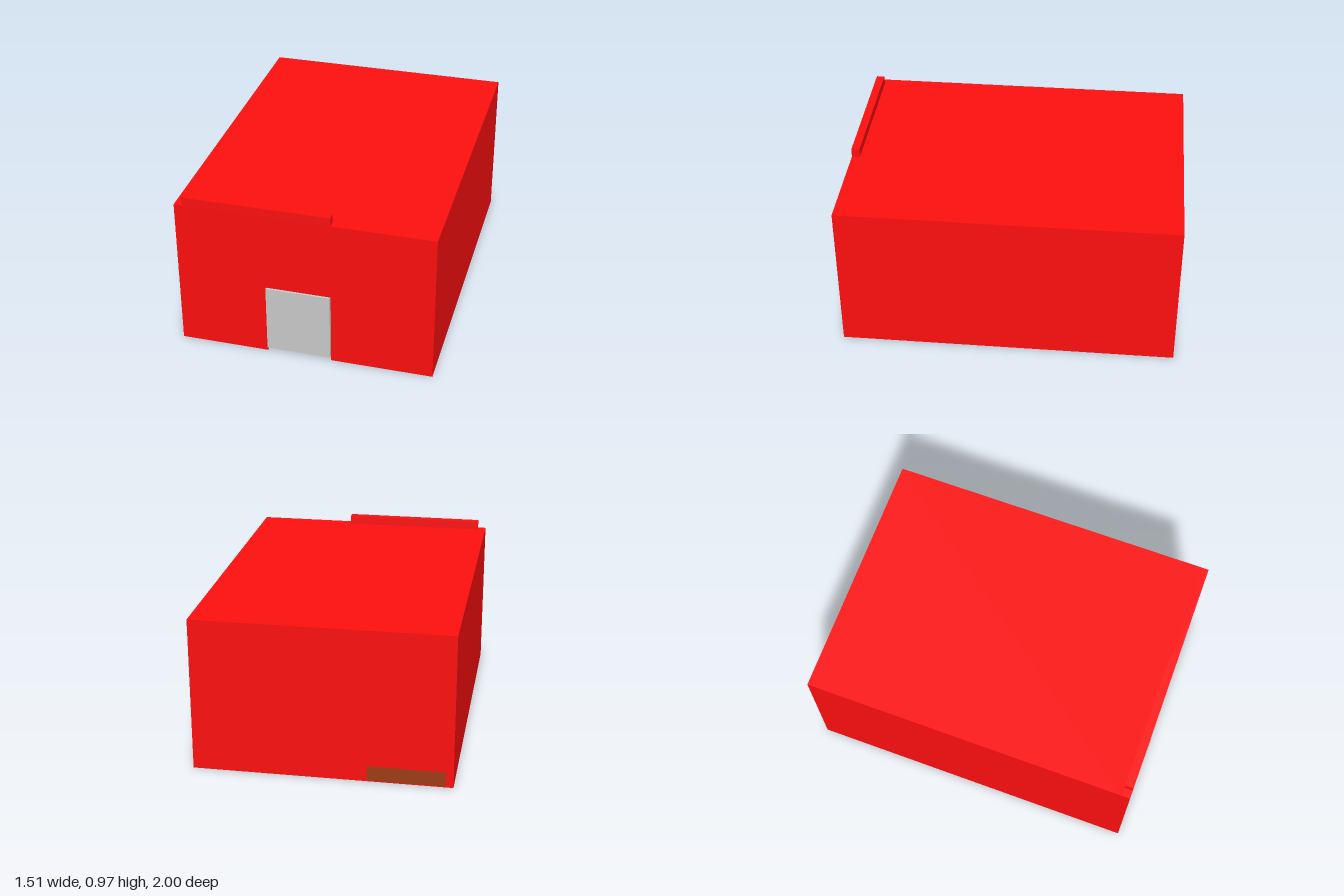
import * as THREE from 'three';

const RED = 0xff0f0f;
const GREY = 0xcccccc;
const BROWN = 0xa03c16;

function part(name, geometry, color) {
  const mesh = new THREE.Mesh(geometry, new THREE.MeshStandardMaterial({ color, flatShading: true }));
  mesh.name = name;
  return mesh;
}

// Box given by its limits on each axis
function block(name, [x0, x1], [y0, y1], [z0, z1], color) {
  const mesh = part(name, new THREE.BoxGeometry(x1 - x0, y1 - y0, z1 - z0), color);
  mesh.position.set((x0 + x1) / 2, (y0 + y1) / 2, (z0 + z1) / 2);
  return mesh;
}

export function createModel() {
  const model = new THREE.Group();
  model.name = 'warehouse';

  const W = 0.755, H = 0.92;
  const wallBack = 0.95, wallFront = 0.994;

  // Main hall behind the front wall
  model.add(block('hall', [-W, W], [0, H], [-1, wallBack], RED));

  // Front wall with a doorway open at the bottom
  const outline = new THREE.Shape();
  [[-W, 0], [-0.23, 0], [-0.23, 0.445], [0.155, 0.445], [0.155, 0], [W, 0], [W, H], [-W, H]]
    .forEach(([x, y], i) => (i ? outline.lineTo(x, y) : outline.moveTo(x, y)));
  const wall = part('frontWall',
    new THREE.ExtrudeGeometry(outline, { depth: wallFront - wallBack, bevelEnabled: false }), RED);
  wall.position.z = wallBack;
  model.add(wall);

  // Raised door, just proud of the wall and clear of the ground
  model.add(block('door', [-0.23, 0.15], [0.022, 0.44], [0.97, 1], GREY));

  // Sign board on the roof edge
  model.add(block('roofSign', [-0.705, 0.157], [H, 0.972], [0.945, wallFront], RED));

  // Low panel flush with the back wall
  model.add(block('backPanel', [-0.71, -0.26], [0.005, 0.095], [-1.001, -0.99], BROWN));

  return model;
}
